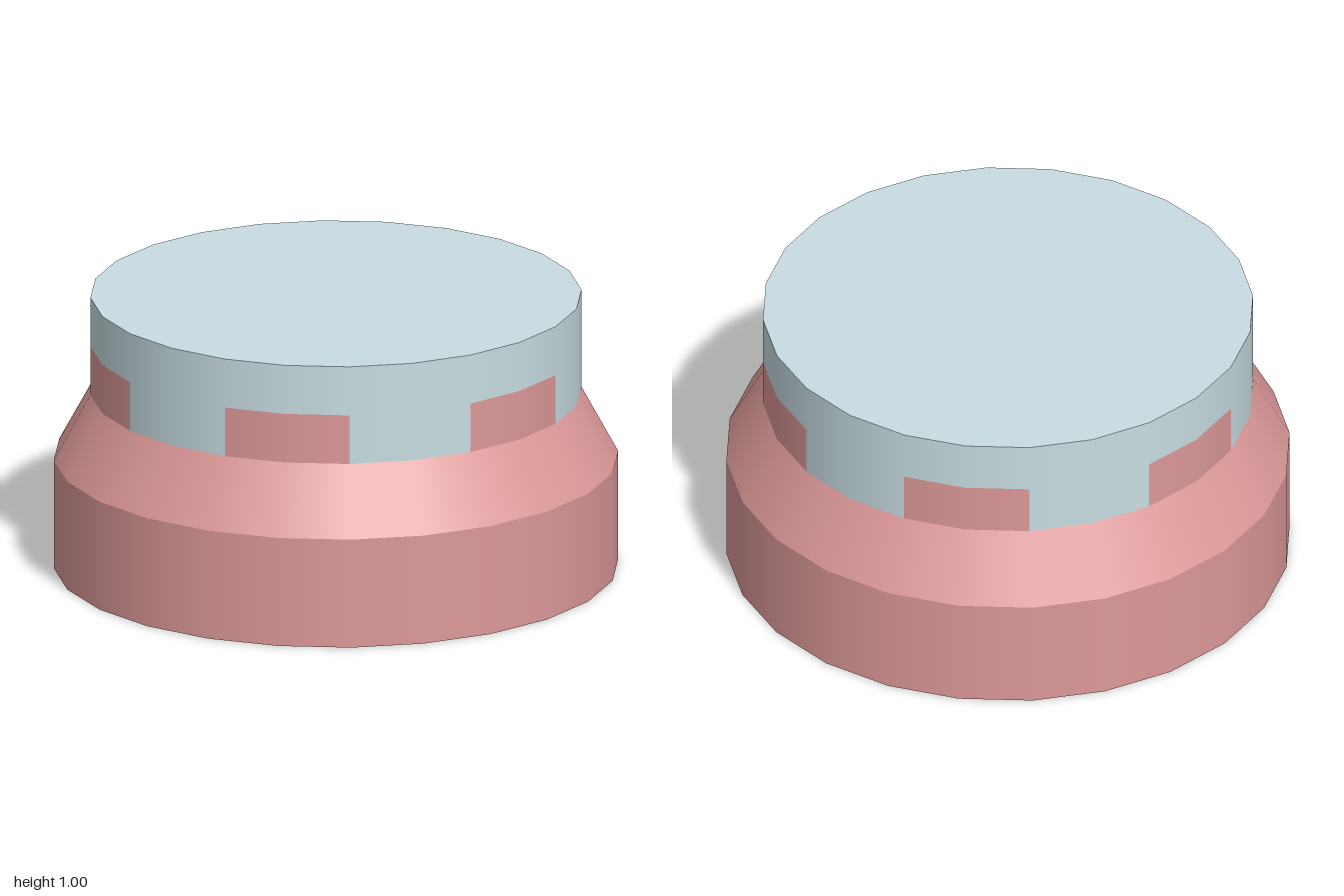
import * as THREE from 'three';

const SIDES = 24;
const BASE_R = 1, LID_R = 0.87;
const BASE_TOP = 0.4, SHOULDER_TOP = 0.64, TOOTH_TOP = 0.82, LID_TOP = 1;
const TEETH = 6;

export function createModel() {
  const model = new THREE.Group();
  const baseMat = new THREE.MeshStandardMaterial({ color: 0xdd9999, side: THREE.DoubleSide });
  const lidMat = new THREE.MeshStandardMaterial({ color: 0xc8dde2, side: THREE.DoubleSide });

  const add = (name, geometry, material, y = 0) => {
    const mesh = new THREE.Mesh(geometry, material);
    mesh.name = name;
    mesh.position.y = y;
    model.add(mesh);
    return mesh;
  };

  // Open wall between two heights; start and sweep are angles from +z towards +x
  const wall = (name, material, rBottom, rTop, y0, y1, start = 0, sweep = Math.PI * 2) => {
    const sides = Math.round(SIDES * sweep / (Math.PI * 2));
    const geometry = new THREE.CylinderGeometry(rTop, rBottom, y1 - y0, sides, 1, true, start, sweep);
    return add(name, geometry, material, (y0 + y1) / 2);
  };

  // Base: floor, straight wall and sloping shoulder
  add('baseFloor', new THREE.CircleGeometry(BASE_R, SIDES), baseMat).rotation.x = Math.PI / 2;
  wall('baseWall', baseMat, BASE_R, BASE_R, 0, BASE_TOP);
  wall('shoulder', baseMat, BASE_R, LID_R, BASE_TOP, SHOULDER_TOP);

  // Lid: top disc and the band above the teeth
  add('lidTop', new THREE.CircleGeometry(LID_R, SIDES), lidMat, LID_TOP).rotation.x = -Math.PI / 2;
  wall('lidBand', lidMat, LID_R, LID_R, TOOTH_TOP, LID_TOP);

  // Teeth of the base alternate with the lid's tabs, flush with each other
  const step = Math.PI / TEETH;
  for (let i = 0; i < TEETH; i++) {
    wall('tooth' + (i + 1), baseMat, LID_R, LID_R, SHOULDER_TOP, TOOTH_TOP, 2 * i * step, step);
    wall('lidTab' + (i + 1), lidMat, LID_R, LID_R, SHOULDER_TOP, TOOTH_TOP, (2 * i + 1) * step, step);
  }

  return model;
}
